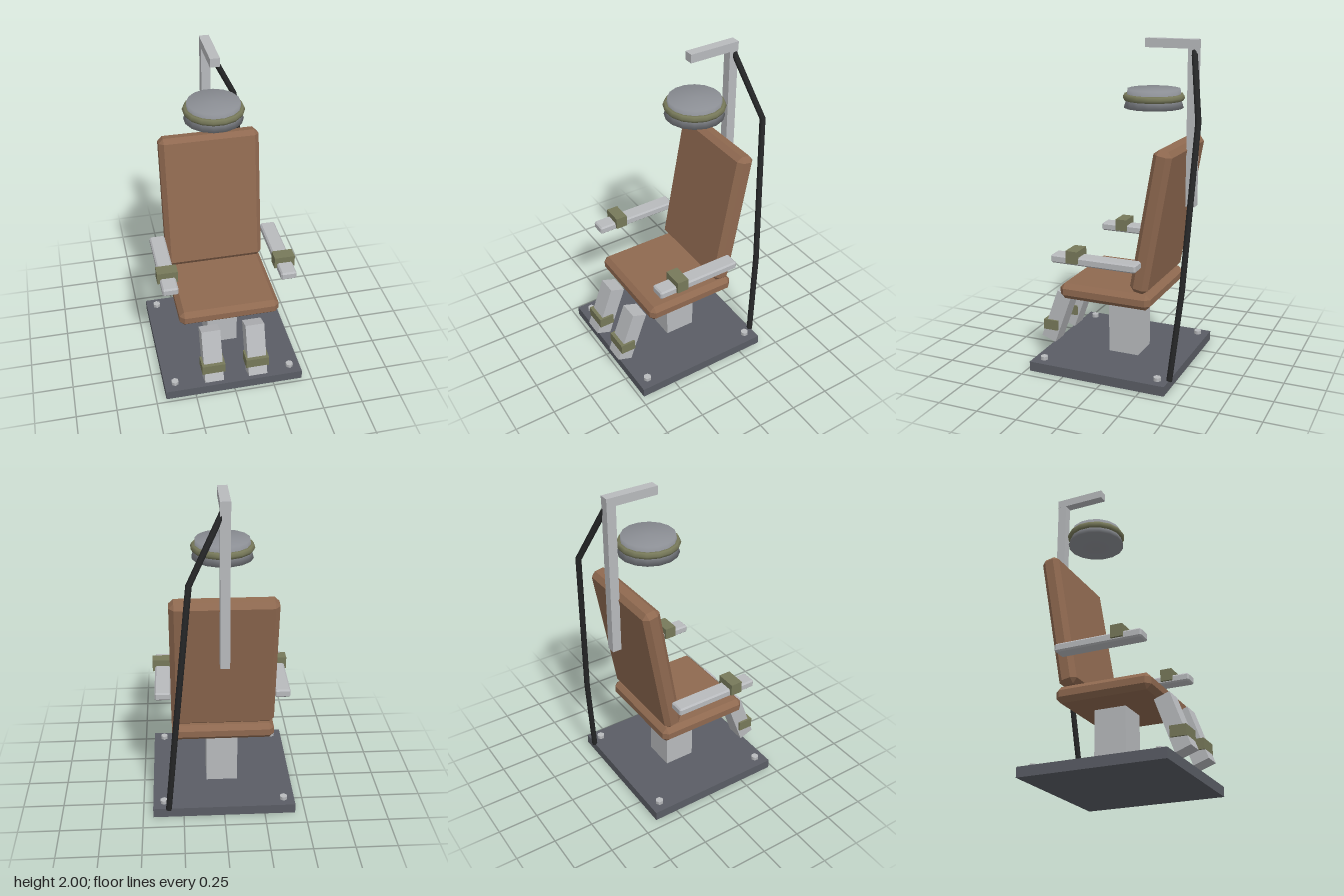
import * as THREE from 'three';
import { ConvexGeometry } from 'three/addons/geometries/ConvexGeometry.js';

const mat = (name, color) => {
  const m = new THREE.MeshStandardMaterial({ color });
  m.name = name;
  return m;
};

// Box with all edges and corners chamfered by c
function chamferBox(w, h, d, c) {
  const pts = [];
  for (const x of [-1, 1]) for (const y of [-1, 1]) for (const z of [-1, 1]) {
    const a = w / 2, b = h / 2, e = d / 2;
    pts.push(
      new THREE.Vector3(x * a, y * (b - c), z * (e - c)),
      new THREE.Vector3(x * (a - c), y * b, z * (e - c)),
      new THREE.Vector3(x * (a - c), y * (b - c), z * e)
    );
  }
  return new ConvexGeometry(pts);
}

export function createModel() {
  const model = new THREE.Group();
  model.name = 'restraintChair';

  const leather = mat('brownLeather', 0x8f6950);
  const metal = mat('lightMetal', 0xb8babd);
  const plate = mat('darkBasePlate', 0x5a5d65);
  const strap = mat('oliveStrap', 0x77795a);
  const steel = mat('helmetSteel', 0x8c8f95);
  const rubber = mat('blackRubber', 0x262728);

  const add = (name, geometry, material, x, y, z, tilt = 0) => {
    const mesh = new THREE.Mesh(geometry, material);
    mesh.name = name;
    mesh.position.set(x, y, z);
    mesh.rotation.x = tilt;
    model.add(mesh);
    return mesh;
  };
  const box = (w, h, d) => new THREE.BoxGeometry(w, h, d);
  const deg = Math.PI / 180;

  // Base plate, pedestal and cushions
  add('basePlate', box(0.876, 0.06, 0.876), plate, 0, 0.03, 0.038);
  add('pedestal', box(0.196, 0.4, 0.196), metal, 0, 0.255, -0.004);
  add('seat', chamferBox(0.624, 0.098, 0.586, 0.029), leather, 0, 0.495, 0.04);
  add('backrest', chamferBox(0.624, 0.87, 0.112, 0.029), leather, 0, 0.978, -0.251, -10 * deg);

  // Paired parts
  for (const [side, s] of [['left', 1], ['right', -1]]) {
    add(side + 'Armrest', chamferBox(0.096, 0.05, 0.537, 0.009), metal, s * 0.362, 0.735, 0.06);
    add(side + 'WristStrap', box(0.126, 0.075, 0.074), strap, s * 0.362, 0.762, 0.186);
    add(side + 'LegRest', box(0.118, 0.336, 0.098), metal, s * 0.138, 0.275, 0.412, -20 * deg);
    add(side + 'AnkleStrap', box(0.144, 0.064, 0.096), strap, s * 0.138, 0.217, 0.448);
    for (const z of [0.41, -0.334]) {
      add(side + 'Bolt', new THREE.CylinderGeometry(0.024, 0.024, 0.03, 6), metal, s * 0.371, 0.067, z);
    }
  }

  // Rear post with overhanging arm
  add('rearPost', box(0.056, 0.97, 0.056), metal, 0, 1.515, -0.398);
  add('overheadArm', box(0.058, 0.052, 0.318), metal, 0, 1.974, -0.268);

  // Hanging cap, shallow and rounded below, with a strap ring
  const profile = [[0, 1.577], [0.177, 1.602], [0.162, 1.65], [0.157, 1.71], [0, 1.71]]
    .map(([r, y]) => new THREE.Vector2(r, y));
  const cap = add('cap', new THREE.LatheGeometry(profile, 16), steel, 0, 0, -0.156);
  cap.rotation.y = Math.PI / 16;
  const ringGeometry = new THREE.TorusGeometry(0.163, 0.021, 6, 16)
    .rotateX(Math.PI / 2).rotateY(Math.PI / 16);
  add('capRing', ringGeometry, strap, 0, 1.663, -0.156);

  // Cable from the post down to the base, with straight runs between bends
  const path = new THREE.CatmullRomCurve3([
    new THREE.Vector3(0.015, 1.935, -0.405),
    new THREE.Vector3(0.2, 1.565, -0.497),
    new THREE.Vector3(0.293, 0.6, -0.45),
    new THREE.Vector3(0.342, 0.055, -0.398),
  ]);
  path.getPointAt = path.getPoint;
  path.getTangentAt = path.getTangent;
  const cable = new THREE.TubeGeometry(path, 3, 0.018, 8, false);
  rubber.side = THREE.DoubleSide;
  add('cable', cable, rubber, 0, 0, 0);

  return model;
}
